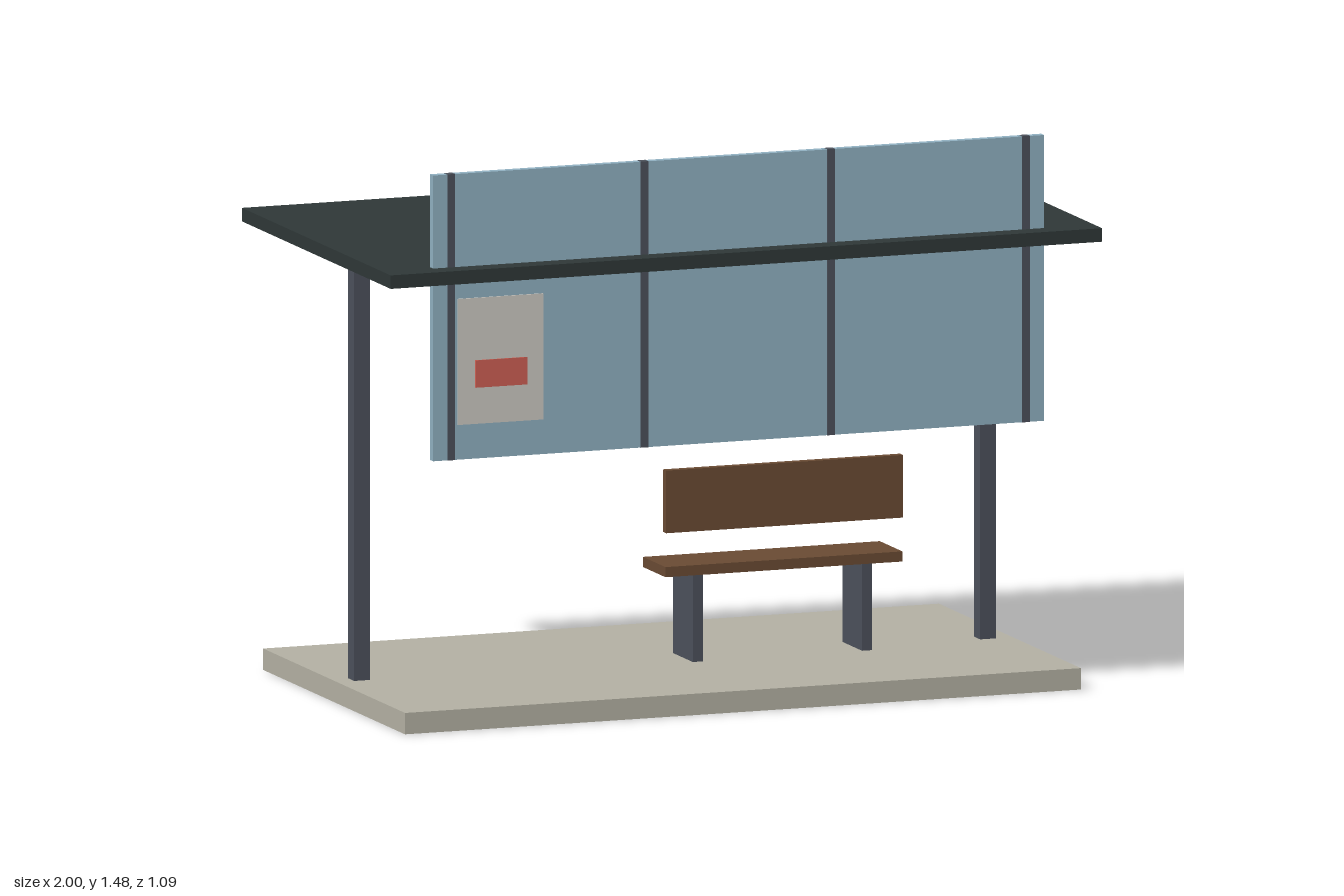
import * as THREE from 'three';

export function createModel() {
  const model = new THREE.Group();
  model.name = 'busShelter';

  const mat = (name, color) => {
    const m = new THREE.MeshStandardMaterial({ color });
    m.name = name;
    return m;
  };
  const concrete = mat('concrete', 0xb2afa2);
  const metal = mat('darkMetal', 0x4b505a);
  const roofing = mat('roofing', 0x2e3737);
  const glass = mat('blueGlass', 0x8fafc0);
  const wood = mat('wood', 0x694a33);
  const paper = mat('posterPaper', 0xcbc8c2);
  const red = mat('posterRed', 0xcc5f53);

  // Box given by its minimum and maximum on each axis
  const box = (name, material, [x0, x1], [y0, y1], [z0, z1], parent = model) => {
    const mesh = new THREE.Mesh(new THREE.BoxGeometry(x1 - x0, y1 - y0, z1 - z0), material);
    mesh.position.set((x0 + x1) / 2, (y0 + y1) / 2, (z0 + z1) / 2);
    mesh.name = name;
    parent.add(mesh);
  };
  const group = (name) => {
    const g = new THREE.Group();
    g.name = name;
    model.add(g);
    return g;
  };

  // Base slab, posts and flat roof
  box('baseSlab', concrete, [-0.95, 0.95], [0, 0.057], [-0.522, 0.522]);
  for (const [side, x] of [['right', -0.88], ['left', 0.88]]) {
    box(side + 'Post', metal, [x - 0.022, x + 0.022], [0.057, 1.195], [-0.022, 0.022]);
  }
  box('roof', roofing, [-1, 1], [1.195, 1.231], [-0.547, 0.547]);

  // Glass wall with dark mullions, passing through the roof
  const wall = group('glassWall');
  box('glassPanel', glass, [-0.859, 0.859], [0.717, 1.479], [0.468, 0.49], wall);
  for (const x of [-0.808, -0.265, 0.26, 0.808]) {
    box('mullion', metal, [x - 0.011, x + 0.011], [0.7165, 1.4795], [0.4675, 0.4905], wall);
  }

  // Poster on the front of the glass
  const poster = group('poster');
  box('posterSheet', paper, [-0.79, -0.55], [0.81, 1.146], [0.489, 0.494], poster);
  box('posterBlock', red, [-0.742, -0.597], [0.907, 0.98], [0.493, 0.498], poster);

  // Bench
  const bench = group('bench');
  box('seat', wood, [-0.05, 0.616], [0.29, 0.317], [-0.083, 0.083], bench);
  box('backrest', wood, [-0.05, 0.616], [0.408, 0.575], [0.066, 0.088], bench);
  for (const x of [0.045, 0.521]) {
    box('benchLeg', metal, [x - 0.014, x + 0.014], [0.057, 0.29], [-0.072, 0.072], bench);
  }

  return model;
}
